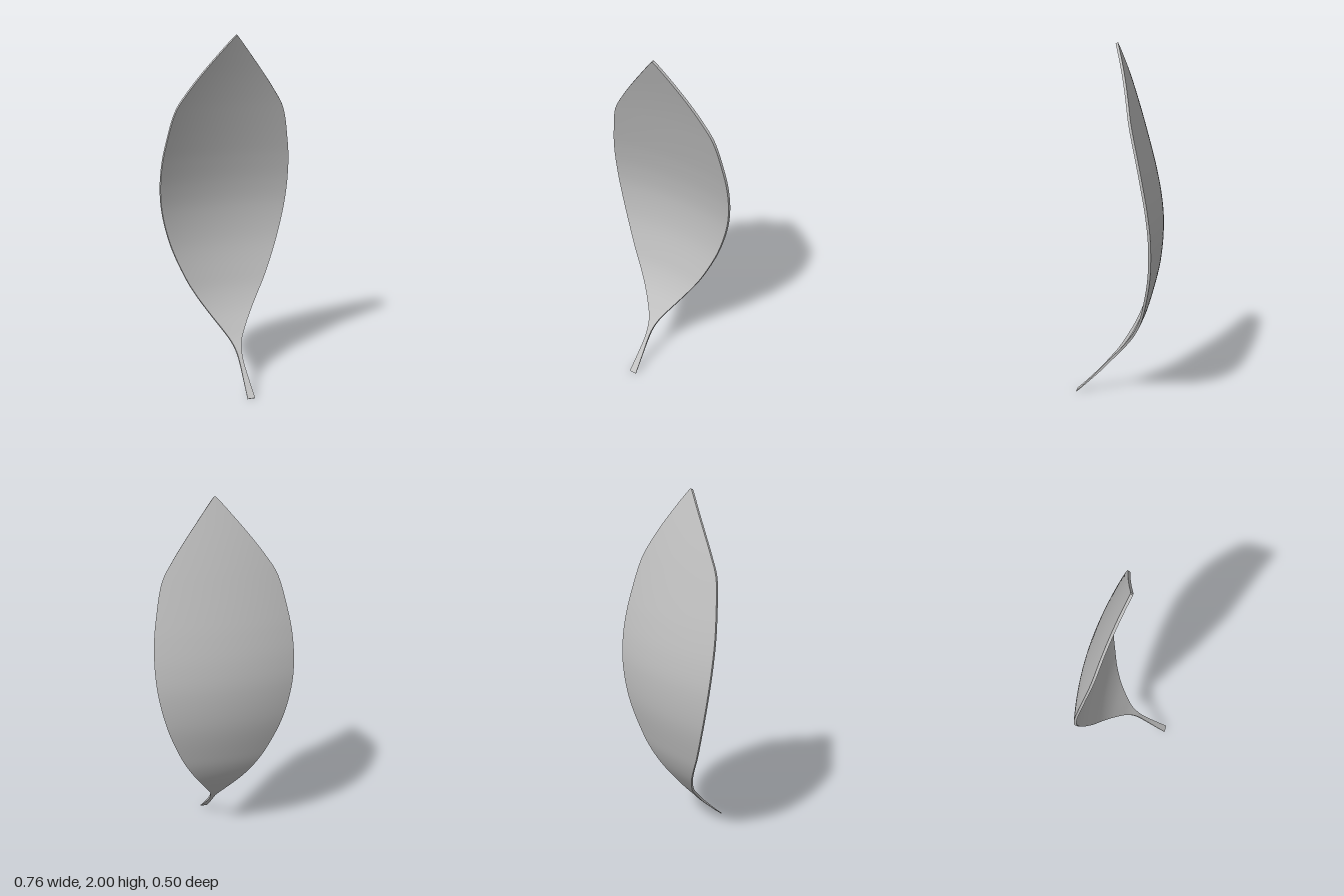
import * as THREE from 'three';

// Leaf profile from stem foot to tip: half width, height, depth of the midrib's back
const PROFILE = [
  [0.022, 0, 0.246], [0.016, 0.08, 0.158], [0.012, 0.15, 0.085], [0.016, 0.2, 0.04],
  [0.033, 0.25, -0.005], [0.063, 0.3, -0.043], [0.13, 0.4, -0.11], [0.193, 0.5, -0.158],
  [0.246, 0.6, -0.19], [0.324, 0.8, -0.236], [0.37, 1.0, -0.249], [0.382, 1.15, -0.236],
  [0.375, 1.3, -0.207], [0.355, 1.42, -0.177], [0.309, 1.6, -0.127], [0.247, 1.7, -0.097],
  [0.172, 1.8, -0.065], [0.09, 1.9, -0.031], [0.022, 1.98, -0.003], [0.003, 2.0, 0.004],
];
const CUP = 0.31;    // how strongly the blade curls forward at its sides
const TWIST = 0.054; // the left side sits further forward than the right
const ROWS = 110, COLS = 24;

const curve = new THREE.CatmullRomCurve3(PROFILE.map((p) => new THREE.Vector3(...p)));

// Point on the leaf: t along the midrib, s across from -1 to 1, on the front or back skin
function leafPoint(t, s, front) {
  const p = curve.getPoint(t), d = curve.getTangent(t);
  const x = s * p.x;
  const point = new THREE.Vector3(x, p.y, p.z + CUP * x * x + TWIST * x);
  if (front) {
    const normal = new THREE.Vector3(-2 * CUP * x - TWIST, -d.z / d.y, 1).normalize();
    const thickness = 0.005 + 0.009 * THREE.MathUtils.smoothstep(p.y, 0, 0.2);
    point.addScaledVector(normal, thickness);
    point.y = THREE.MathUtils.clamp(point.y, 0, 2);
  }
  return point;
}

// Smooth sheet of quads from a point function of (row, column)
function sheet(rows, cols, at, flip) {
  const positions = [], index = [];
  for (let i = 0; i <= rows; i++) {
    for (let j = 0; j <= cols; j++) positions.push(...at(i / rows, j / cols).toArray());
  }
  for (let i = 0; i < rows; i++) {
    for (let j = 0; j < cols; j++) {
      const a = i * (cols + 1) + j, b = a + 1, c = a + cols + 1, d = c + 1;
      if (flip) index.push(a, c, b, b, c, d);
      else index.push(a, b, c, b, d, c);
    }
  }
  const geometry = new THREE.BufferGeometry();
  geometry.setAttribute('position', new THREE.Float32BufferAttribute(positions, 3));
  geometry.setIndex(index);
  geometry.computeVertexNormals();
  return geometry;
}

export function createModel() {
  const group = new THREE.Group();
  group.name = 'leaf';
  const grey = new THREE.MeshStandardMaterial({ color: 0xc0c0c0 });
  grey.name = 'light grey';
  const add = (name, geometry) => {
    const mesh = new THREE.Mesh(geometry, grey);
    mesh.name = name;
    group.add(mesh);
  };

  // Front and back skins of blade and stem
  add('leafFront', sheet(ROWS, COLS, (u, v) => leafPoint(u, v * 2 - 1, true), false));
  add('leafBack', sheet(ROWS, COLS, (u, v) => leafPoint(u, v * 2 - 1, false), true));

  // Thin rims along both sides
  add('leftRim', sheet(ROWS, 1, (u, v) => leafPoint(u, 1, v < 0.5), false));
  add('rightRim', sheet(ROWS, 1, (u, v) => leafPoint(u, -1, v < 0.5), true));

  // Caps closing the stem foot and the tip
  add('stemFoot', sheet(1, COLS, (u, v) => leafPoint(0, v * 2 - 1, u > 0.5), false));
  add('tipCap', sheet(1, COLS, (u, v) => leafPoint(1, v * 2 - 1, u > 0.5), true));
  return group;
}
